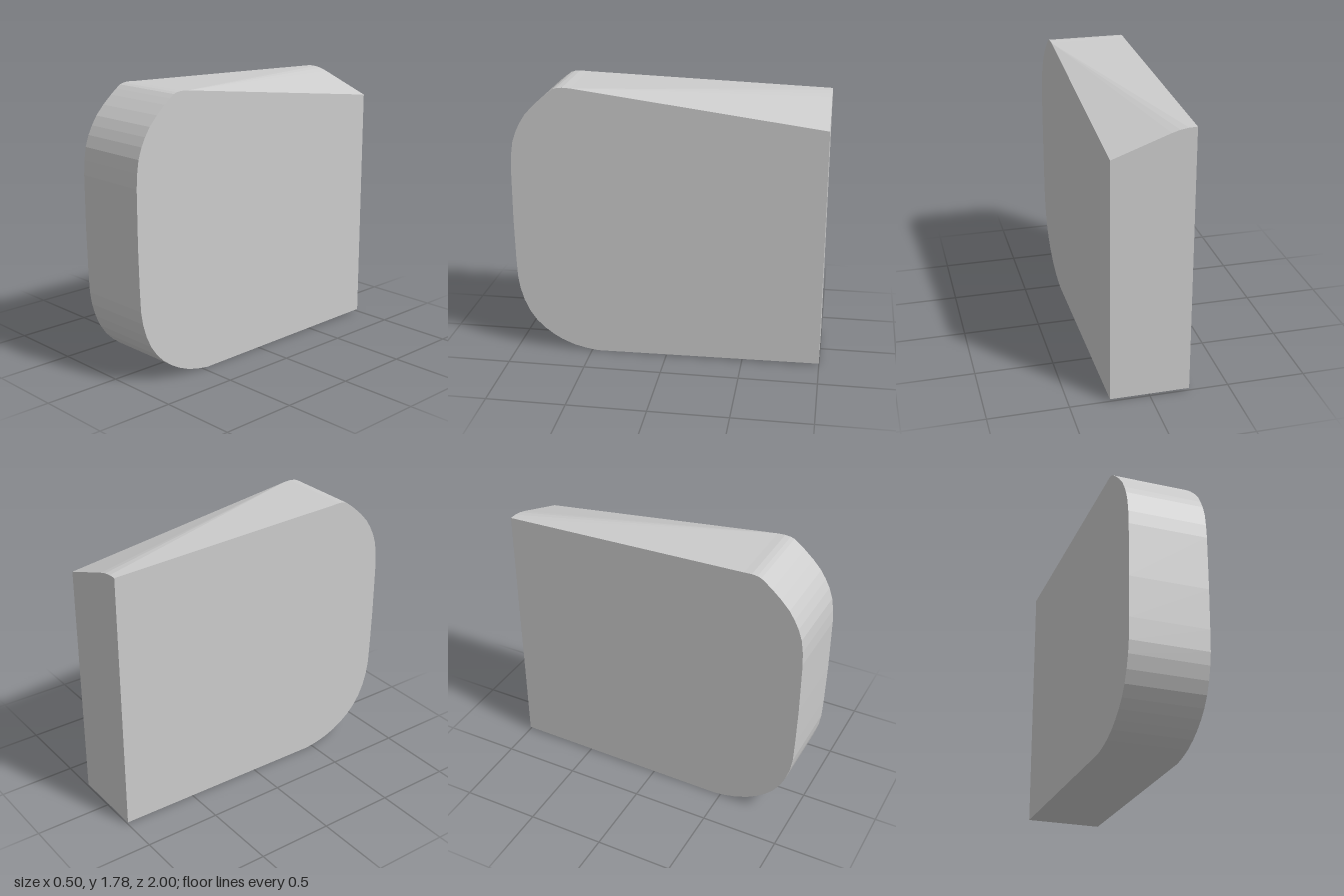
import * as THREE from 'three';

const HALF = 0.25; // half thickness along x

// Rim outline as [z, y]: from the bottom back edge, round the front, to the top
const RIM = [
  [-1, 0.015], [0.46, 0], [0.54, 0.012], [0.62, 0.032], [0.7, 0.065], [0.76, 0.1],
  [0.82, 0.145], [0.87, 0.195], [0.915, 0.26], [0.95, 0.335], [0.975, 0.42], [0.988, 0.5],
  [0.994, 0.64], [1, 0.9], [1, 1.25], [0.994, 1.34], [0.982, 1.42], [0.958, 1.49],
  [0.93, 1.545], [0.895, 1.6], [0.84, 1.66], [0.78, 1.714], [0.74, 1.746], [0.71, 1.768],
  [0.685, 1.776], [0.65, 1.78], [0.6, 1.777],
];

// Back top edge as [x, y]: a soft ridge on one side sloping down to the other
const BACK_TOP = [[-HALF, 1.722], [-0.2, 1.721], [-0.15, 1.713], [-0.1, 1.698], [HALF, 1.57]];

// Mesh made of convex polygons, corners counter-clockwise from outside
function polygonMesh(name, polygons, material) {
  const pos = [];
  for (const p of polygons) {
    for (let i = 1; i < p.length - 1; i++) pos.push(...p[0], ...p[i], ...p[i + 1]);
  }
  const geometry = new THREE.BufferGeometry();
  geometry.setAttribute('position', new THREE.Float32BufferAttribute(pos, 3));
  geometry.computeVertexNormals();
  const mesh = new THREE.Mesh(geometry, material);
  mesh.name = name;
  return mesh;
}

export function createModel() {
  const group = new THREE.Group();
  group.name = 'roundedBlock';
  const material = new THREE.MeshStandardMaterial({ color: 0xcccccc, flatShading: true });

  const left = RIM.map(([z, y]) => [HALF, y, z]);
  const right = RIM.map(([z, y]) => [-HALF, y, z]);
  const back = BACK_TOP.map(([x, y]) => [x, y, -1]);
  const last = RIM.length - 1;

  // Underside and rounded front
  const strips = [];
  for (let i = 0; i < last; i++) strips.push([right[i], left[i], left[i + 1], right[i + 1]]);
  group.add(polygonMesh('rim', strips, material));

  // Twisted top, fanning out from the left front corner
  group.add(polygonMesh('slopingTop', [[left[last], ...[...back].reverse(), right[last]]], material));

  // Flat walls
  group.add(polygonMesh('leftSide', [[...left, back[back.length - 1]].reverse()], material));
  group.add(polygonMesh('rightSide', [[...right, back[0]]], material));
  group.add(polygonMesh('backWall', [[left[0], right[0], ...back]], material));

  return group;
}
